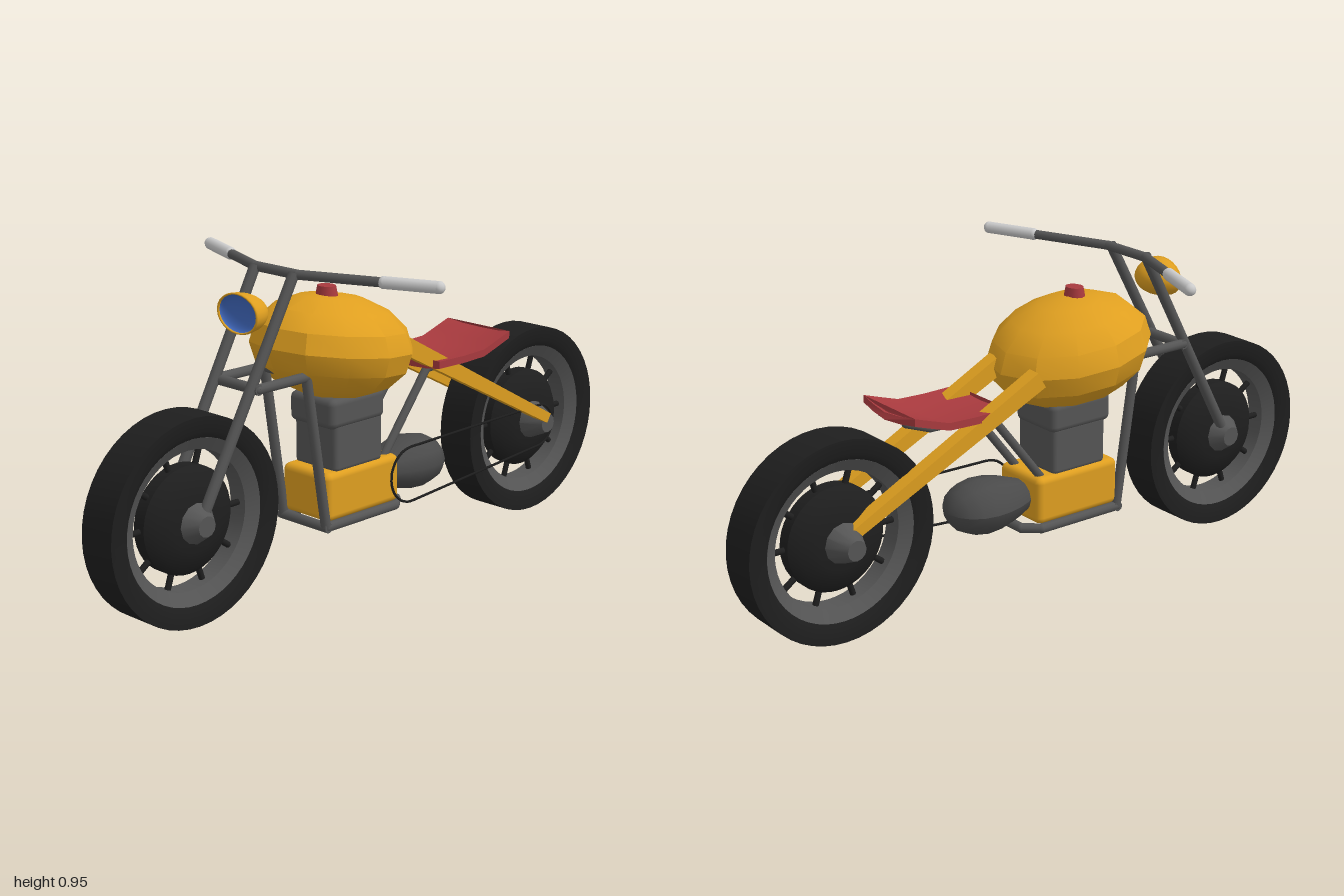
import * as THREE from 'three';
import { RoundedBoxGeometry } from 'three/addons/geometries/RoundedBoxGeometry.js';
import { toCreasedNormals } from 'three/addons/utils/BufferGeometryUtils.js';

const mat = (color, side = THREE.FrontSide) => new THREE.MeshStandardMaterial({ color, side });
const yellow = mat(0xdf9f20), steel = mat(0x555555), dark = mat(0x4a4a4a), rubber = mat(0x1e1e1e);
const red = mat(0xa83a3e), white = mat(0xcccccc), blue = mat(0x4068bd, THREE.DoubleSide);
const V = (x, y, z) => new THREE.Vector3(x, y, z);

function add(parent, name, geometry, material, x = 0, y = 0, z = 0) {
  const m = new THREE.Mesh(geometry, material);
  m.name = name;
  m.position.set(x, y, z);
  parent.add(m);
  return m;
}

// Straight round bar between two points
function bar(parent, name, a, b, r, material, r2 = r) {
  const m = add(parent, name, new THREE.CylinderGeometry(r2, r, a.distanceTo(b), 10), material);
  m.position.copy(a).lerp(b, 0.5);
  m.quaternion.setFromUnitVectors(V(0, 1, 0), b.clone().sub(a).normalize());
  return m;
}

// Bent pipe: bars with round elbows
function pipe(parent, name, points, r, material) {
  const g = new THREE.Group();
  g.name = name;
  points.forEach((p, i) => {
    if (i) bar(g, name + 'Section', points[i - 1], p, r, material);
    add(g, name + 'Elbow', new THREE.SphereGeometry(r, 10, 8), material, p.x, p.y, p.z);
  });
  parent.add(g);
}

// Solid of revolution around the x axis from [radius, x] pairs
function turned(profile, segments = 40) {
  const g = new THREE.LatheGeometry(profile.map(([r, x]) => new THREE.Vector2(r, x)), segments);
  g.rotateZ(-Math.PI / 2);
  return toCreasedNormals(g, 0.6);
}

function wheel(name, z, hubHalf) {
  const g = new THREE.Group();
  g.name = name;
  g.position.set(0, 0.2975, z);
  add(g, 'tyre', turned([[0.235, -0.05], [0.255, -0.0615], [0.2975, -0.0615], [0.2975, 0.0615],
    [0.255, 0.0615], [0.235, 0.05], [0.235, -0.05]], 48), rubber);
  add(g, 'rim', turned([[0.2, -0.03], [0.237, -0.052], [0.237, 0.052], [0.2, 0.03], [0.2, -0.03]], 48), steel);
  add(g, 'brakeDrum', turned([[0, -0.062], [0.08, -0.058], [0.13, -0.045], [0.155, -0.02],
    [0.155, 0.02], [0.13, 0.045], [0.08, 0.058], [0, 0.062]]), rubber);
  add(g, 'hub', turned([[0, -hubHalf], [0.03, -hubHalf], [0.062, -0.055],
    [0.062, 0.055], [0.03, hubHalf], [0, hubHalf]], 12), steel);
  for (let i = 0; i < 10; i++) {
    const a = (i + 0.5) * Math.PI / 5, c = Math.cos(a), s = Math.sin(a);
    bar(g, 'spoke', V(0, c * 0.14, s * 0.14), V(0, c * 0.21, s * 0.21), 0.009, rubber);
  }
  return g;
}

// Dished seat pan lofted from front to back
function seatGeometry() {
  const stations = [[-0.19, 0.582], [-0.30, 0.58], [-0.39, 0.583], [-0.45, 0.602], [-0.505, 0.62]];
  const across = [-0.126, -0.07, 0, 0.07, 0.126], pos = [], idx = [];
  stations.forEach(([z, y], k) => {
    const ring = across.map(x => [x, y + 0.012 * (x / 0.126) ** 2,
      z - (k === 4 ? 0.015 * (1 - Math.abs(x) / 0.126) : 0)]);
    ring.forEach(p => pos.push(...p));
    [...ring].reverse().forEach(p => pos.push(p[0], p[1] - 0.022, p[2]));
  });
  const n = across.length * 2;
  for (let k = 0; k < stations.length - 1; k++) for (let i = 0; i < n; i++) {
    const a = k * n + i, b = k * n + (i + 1) % n;
    idx.push(a, b, a + n, b, b + n, a + n);
  }
  const end = (stations.length - 1) * n;
  for (let i = 1; i < n - 1; i++) idx.push(0, i + 1, i, end, end + i, end + i + 1);
  const g = new THREE.BufferGeometry();
  g.setAttribute('position', new THREE.Float32BufferAttribute(pos, 3));
  g.setIndex(idx);
  return toCreasedNormals(g, 0.5);
}

export function createModel() {
  const root = new THREE.Group();
  root.name = 'motorcycle';
  const bike = new THREE.Group();
  bike.name = 'body';
  bike.position.x = -0.028;
  root.add(bike);

  bike.add(wheel('frontWheel', 0.7025, 0.1), wheel('rearWheel', -0.7025, 0.126));

  // Fuel tank: faceted ellipsoid, nose raised
  const tank = new THREE.SphereGeometry(1, 12, 8);
  tank.scale(0.23, 0.155, 0.25);
  const p = tank.attributes.position;
  for (let i = 0; i < p.count; i++) p.setY(i, p.getY(i) + 0.13 * p.getZ(i));
  tank.computeVertexNormals();
  add(bike, 'fuelTank', toCreasedNormals(tank, 0.5), yellow, -0.006, 0.68, 0.125);
  add(bike, 'fuelCap', new THREE.CylinderGeometry(0.024, 0.03, 0.035, 12), red, 0, 0.842, 0.15).scale.x = 1.25;

  // Paired parts on both sides
  for (const s of [-1, 1]) {
    const side = s > 0 ? 'left' : 'right';
    bar(bike, side + 'ForkLeg', V(s * 0.072, 0.33, 0.685), V(s * 0.078, 0.935, 0.352), 0.016, steel);
    pipe(bike, side + 'FrameTube', [V(s * 0.085, 0.637, 0.5), V(s * 0.085, 0.637, 0.315),
      V(s * 0.088, 0.178, 0.245), V(s * 0.088, 0.178, -0.04), V(s * 0.05, 0.178, -0.085)], 0.015, steel);
    pipe(bike, side + 'SeatSupport', [V(s * 0.06, 0.3, 0), V(s * 0.06, 0.56, -0.205),
      V(s * 0.06, 0.567, -0.41), V(s * 0.06, 0.597, -0.49)], 0.013, steel);

    // Tapered rear stay
    const a = V(s * 0.094, 0.66, -0.08), b = V(s * 0.092, 0.32, -0.69);
    const stay = new THREE.BoxGeometry(0.046, 0.052, a.distanceTo(b));
    const q = stay.attributes.position;
    for (let i = 0; i < q.count; i++) if (q.getZ(i) > 0) q.setY(i, q.getY(i) * 0.6);
    const m = add(bike, side + 'RearStay', stay, yellow);
    m.position.copy(a).lerp(b, 0.5);
    m.lookAt(b);
  }
  bar(bike, 'forkBrace', V(-0.095, 0.637, 0.5), V(0.095, 0.637, 0.5), 0.015, steel);
  bar(bike, 'upperFrameBrace', V(-0.085, 0.637, 0.315), V(0.085, 0.637, 0.315), 0.015, steel);
  bar(bike, 'lowerFrontBrace', V(-0.1, 0.178, 0.245), V(0.1, 0.178, 0.245), 0.015, steel);
  bar(bike, 'lowerRearBrace', V(-0.05, 0.178, -0.085), V(0.05, 0.178, -0.085), 0.015, steel);

  // Handlebar and grips
  const L = V(0.47, 0.932, 0.195), R = V(-0.415, 0.932, 0.22);
  const l = V(0.085, 0.932, 0.345), r = V(-0.085, 0.932, 0.345);
  pipe(bike, 'handlebar', [R, r, l, L], 0.014, steel);
  pipe(bike, 'leftGrip', [L, L.clone().lerp(l, 0.38)], 0.018, white);
  pipe(bike, 'rightGrip', [R, R.clone().lerp(r, 0.46)], 0.018, white);

  // Headlight: half shell, rim and recessed lens
  const lamp = new THREE.Group();
  lamp.name = 'headlight';
  lamp.position.set(0, 0.833, 0.49);
  lamp.scale.set(1, 0.7, 1);
  const bowl = (rad, depth) => new THREE.SphereGeometry(rad, 24, 10, 0, Math.PI * 2, 0, Math.PI / 2)
    .rotateX(-Math.PI / 2).scale(1, 1, depth / rad);
  add(lamp, 'headlightShell', bowl(0.082, 0.085), yellow);
  add(lamp, 'headlightRim', new THREE.TorusGeometry(0.079, 0.004, 8, 24), yellow);
  add(lamp, 'headlightLens', bowl(0.076, 0.02), blue);
  bike.add(lamp);

  add(bike, 'seat', seatGeometry(), red);

  // Engine
  add(bike, 'cylinderHead', new RoundedBoxGeometry(0.18, 0.09, 0.22, 2, 0.02), steel, 0, 0.503, 0.11);
  add(bike, 'cylinderBlock', new RoundedBoxGeometry(0.17, 0.15, 0.195, 2, 0.015), steel, 0, 0.402, 0.105);
  add(bike, 'crankcase', new RoundedBoxGeometry(0.19, 0.145, 0.3, 2, 0.02), yellow, 0, 0.262, 0.095);

  // Egg-shaped gearbox, pointed at the front
  const egg = new THREE.SphereGeometry(1, 12, 10).rotateX(Math.PI / 2);
  const e = egg.attributes.position;
  for (let i = 0; i < e.count; i++) {
    const k = 1 - 0.3 * e.getZ(i);
    e.setXYZ(i, e.getX(i) * 0.096 * k, e.getY(i) * 0.079 * k, e.getZ(i) * 0.155);
  }
  egg.computeVertexNormals();
  add(bike, 'gearbox', egg, dark, 0, 0.262, -0.155);

  // Drive chain: thin belt around two sprocket arcs
  const chain = [];
  for (let i = 0; i <= 12; i++) {
    const a = Math.PI * (0.5 - i / 12);
    chain.push(V(0.098, 0.262 + 0.085 * Math.sin(a), -0.1 + 0.085 * Math.cos(a)));
  }
  for (let i = 0; i <= 12; i++) {
    const a = Math.PI * (-0.5 - i / 12);
    chain.push(V(0.098, 0.288 + 0.067 * Math.sin(a), -0.69 + 0.067 * Math.cos(a)));
  }
  const loop = new THREE.CurvePath();
  chain.forEach((c, i) => loop.add(new THREE.LineCurve3(c, chain[(i + 1) % chain.length])));
  add(bike, 'driveChain', new THREE.TubeGeometry(loop, 120, 0.004, 5, true), rubber);
  return root;
}
